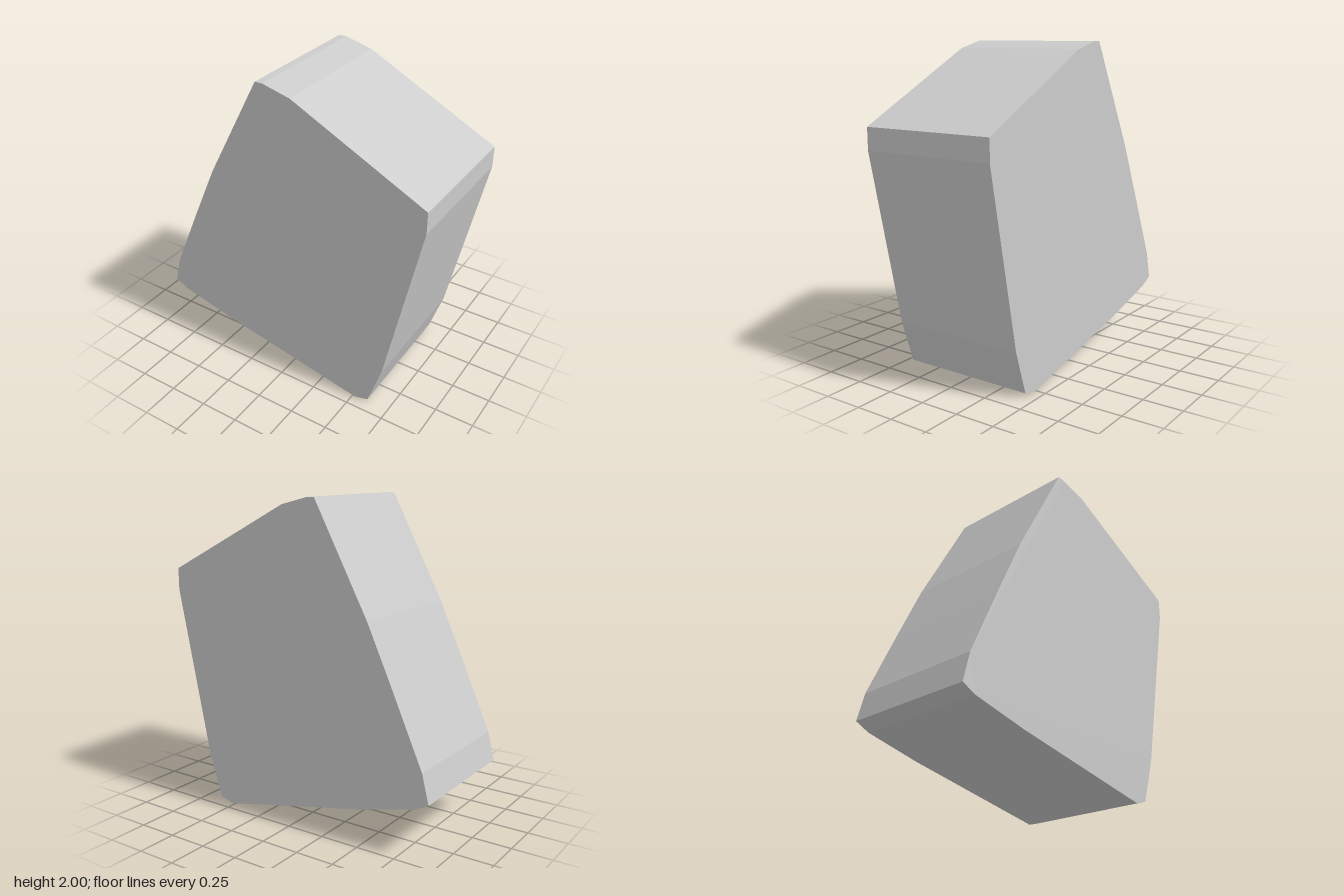
import * as THREE from 'three';

export function createModel() {
  const group = new THREE.Group();
  group.name = 'stone';

  // Irregular outline, counter-clockwise from the lowest corner
  const outline = [
    [0.52, 0], [0.61, 0.025], [0.7, 0.3], [0.925, 1.39], [0.925, 1.525],
    [0.07, 1.955], [-0.11, 2], [-0.16, 2], [-0.52, 1.33], [-0.69, 0.96],
    [-0.885, 0.525], [-0.93, 0.345], [-0.84, 0.3], [-0.48, 0.21],
  ].map(([x, y]) => new THREE.Vector2(x, y));

  const geometry = new THREE.ExtrudeGeometry(new THREE.Shape(outline), { depth: 0.87, bevelEnabled: false });
  geometry.translate(0, 0, -0.437);

  // The front face leans out very slightly towards the top
  const p = geometry.attributes.position;
  for (let i = 0; i < p.count; i++) {
    if (p.getZ(i) > 0) p.setZ(i, 0.428 + 0.005 * p.getY(i));
  }
  geometry.computeVertexNormals();

  const slab = new THREE.Mesh(geometry, new THREE.MeshStandardMaterial({ color: 0xcccccc, flatShading: true }));
  slab.name = 'stoneSlab';
  group.add(slab);
  return group;
}
